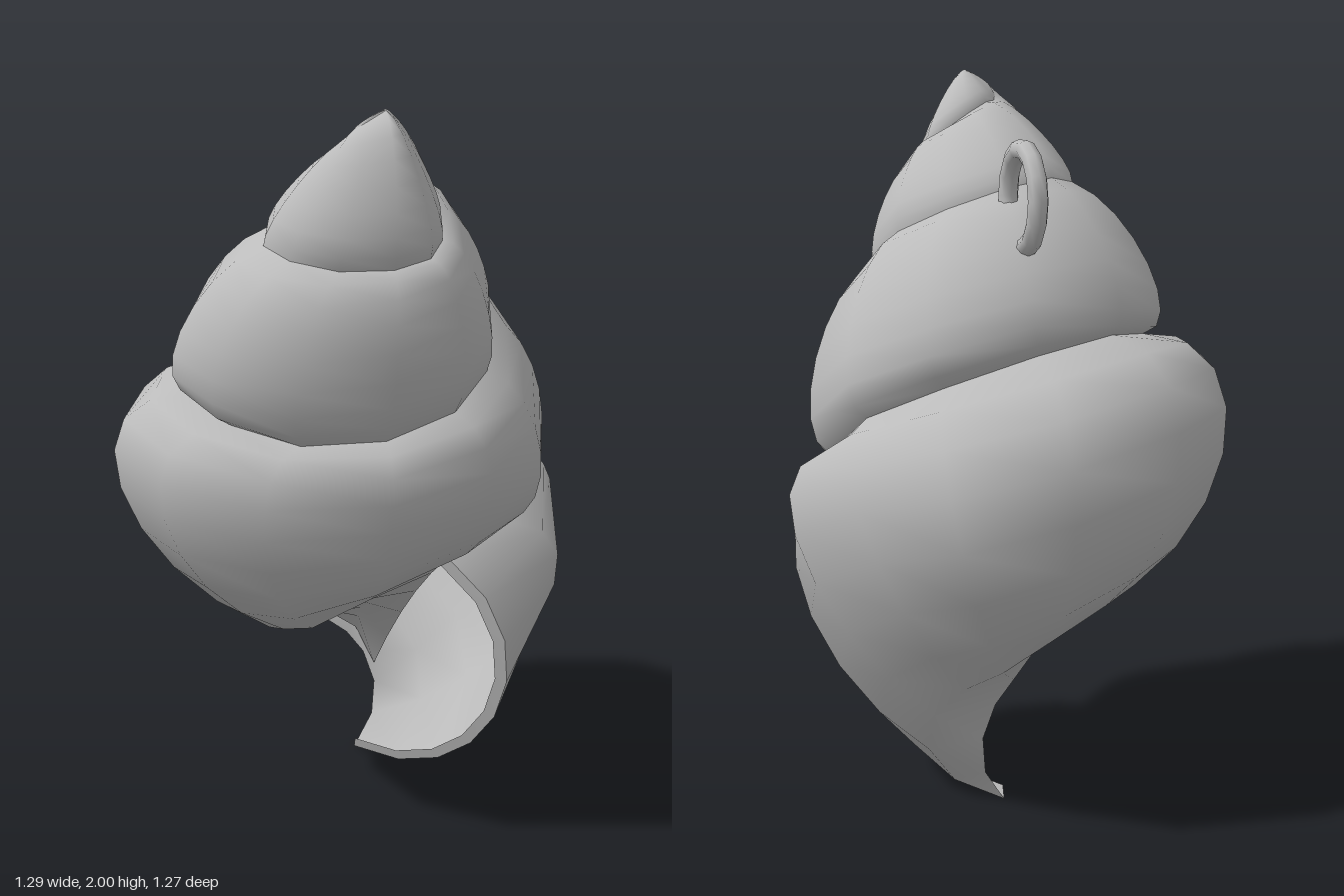
import * as THREE from 'three';

const shellGrey = new THREE.MeshStandardMaterial({ color: 0xbcbcbc, side: THREE.DoubleSide });
shellGrey.name = 'shell grey';

// Smooth curve through knots spaced a quarter turn apart
function quarterCurve(knots) {
  const curve = new THREE.CatmullRomCurve3(
    knots.map((k) => new THREE.Vector3(...k)), false, 'catmullrom', 0.86);
  return (k) => curve.getPoint(k / (knots.length - 1));
}

// Surface through rows of points
function loft(name, rows) {
  const n = rows[0].length;
  const index = [];
  for (let i = 0; i < rows.length - 1; i++) {
    for (let j = 0; j < n - 1; j++) {
      const a = i * n + j, b = a + n;
      index.push(a, b, a + 1, b, b + 1, a + 1);
    }
  }
  const geometry = new THREE.BufferGeometry().setFromPoints(rows.flat());
  geometry.setIndex(index);
  geometry.computeVertexNormals();
  const mesh = new THREE.Mesh(geometry, shellGrey);
  mesh.name = name;
  return mesh;
}

// Seam winding from the tip: front, left, back, right for each turn
const seam = quarterCurve([
  [0, 2, 0.5], [-0.08, 1.93, 0.45], [0.03, 1.88, 0.34], [0.16, 1.74, 0.43],
  [0, 1.63, 0.59], [-0.27, 1.66, 0.33], [0.02, 1.68, 0.02], [0.33, 1.45, 0.3],
  [0, 1.19, 0.53], [-0.42, 1.24, 0.15], [0.02, 1.26, -0.27], [0.52, 0.96, 0.05],
  [0, 0.71, 0.37], [-0.21, 0.52, 0.03], [0, 0.44, -0.22], [0.17, 0.2, -0.25],
  [0.1, 0, -0.22],
]);

// Widest line of the whorls, at the same angles
const belly = quarterCurve([
  [0, 2, 0.5], [-0.04, 1.975, 0.47], [0.03, 1.96, 0.4], [0.1, 1.88, 0.46],
  [0, 1.83, 0.6], [-0.2, 1.82, 0.42], [0.02, 1.81, 0.15], [0.28, 1.64, 0.36],
  [0, 1.43, 0.63], [-0.47, 1.43, 0.22], [0.05, 1.48, -0.25], [0.53, 1.21, 0.17],
  [0, 0.96, 0.58], [-0.62, 0.97, 0.05], [0.04, 0.89, -0.63], [0.61, 0.66, -0.17],
  [0.38, 0.3, 0.3],
]);

// Rounded cross-section from the seam one turn earlier to the current seam
function section(k) {
  const upper = k > 15 ? 11 + (k - 15) * 2 / 3 : Math.max(k - 4, 0);
  const a = seam(upper), b = seam(k);
  const middle = a.clone().lerp(b, 0.5);
  const bulge = belly(k).sub(middle).multiplyScalar(4 / 3);
  const handle = (end) => end.clone().lerp(middle, 0.2).add(bulge);
  return new THREE.CubicBezierCurve3(a, handle(a), handle(b), b).getPoints(8);
}

export function createModel() {
  const model = new THREE.Group();
  model.name = 'spiralShell';

  // Coiled body, three steps per quarter turn
  const rows = [];
  for (let i = 0; i <= 45; i++) rows.push(section(i / 3));
  rows.push(section(15.5), section(16));
  model.add(loft('whorls', rows));

  // Narrow inward rim along the mouth
  const lip = rows[rows.length - 1];
  const mouthCentre = new THREE.Vector3(0.08, 0.42, 0.0);
  model.add(loft('lipRim', [lip, lip.map((p) => p.clone().lerp(mouthCentre, 0.08))]));

  // Underside of the last full whorl, running back to the inner wall
  const roof = [];
  for (let i = 0; i <= 4; i++) {
    const s = i / 4;
    const front = seam(11 + 2 / 3 + s * 4 / 3);
    const back = seam(15 - s * 2);
    back.y += 0.06 * (1 - s);
    const middle = front.clone().lerp(back, 0.5);
    middle.y += 0.08 * (1 - s);
    roof.push(new THREE.QuadraticBezierCurve3(front, middle, back).getPoints(5));
  }
  model.add(loft('mouthRoof', roof));

  // Hanging loop on the back
  const loop = new THREE.Mesh(new THREE.TorusGeometry(0.13, 0.028, 8, 14), shellGrey);
  loop.name = 'hangingLoop';
  loop.rotation.y = Math.PI / 2;
  loop.position.set(0.03, 1.665, -0.165);
  model.add(loop);

  return model;
}
